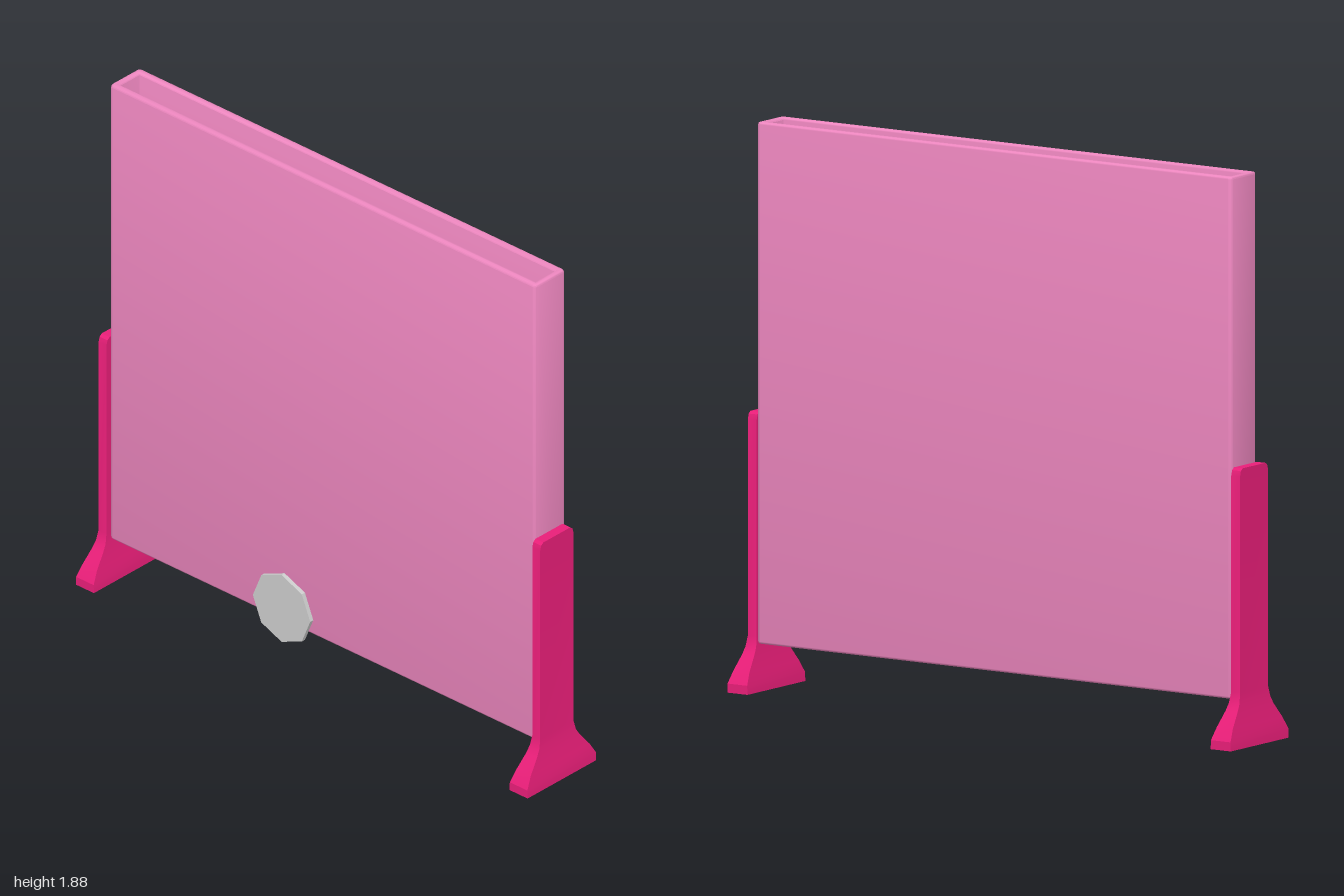
import * as THREE from 'three';
import { toCreasedNormals } from 'three/addons/utils/BufferGeometryUtils.js';

// Rounded rectangle outline, given by half sizes
function roundedRect(Path, hx, hy, r) {
  const p = new Path();
  p.absarc(hx - r, hy - r, r, 0, Math.PI / 2);
  p.absarc(-hx + r, hy - r, r, Math.PI / 2, Math.PI);
  p.absarc(-hx + r, -hy + r, r, Math.PI, Math.PI * 1.5);
  p.absarc(hx - r, -hy + r, r, Math.PI * 1.5, Math.PI * 2);
  p.closePath();
  return p;
}

// Hollow panel, open at the top and bottom, with softened rims
function panelGeometry() {
  const b = 0.008, bottom = 0.155, top = 1.88;
  const shape = roundedRect(THREE.Shape, 0.943 - b, 0.0725 - b, 0.006);
  shape.holes.push(roundedRect(THREE.Path, 0.92 + b, 0.0475 + b, 0.006));
  const g = new THREE.ExtrudeGeometry(shape, {
    depth: top - bottom - 2 * b, bevelThickness: b, bevelSize: b, bevelSegments: 3, curveSegments: 4,
  });
  g.rotateX(-Math.PI / 2).translate(0, bottom + b, -0.1975);
  return toCreasedNormals(g, 0.7);
}

// Stand: rectangular sections from the flared foot up to the chamfered post top
function standGeometry() {
  // height, half width, half depth
  const rows = [
    [0, 0.04, 0.165], [0.03, 0.039, 0.165], [0.07, 0.032, 0.142], [0.12, 0.024, 0.103],
    [0.145, 0.021, 0.088], [0.18, 0.0175, 0.08], [0.895, 0.0175, 0.08],
    [0.912, 0.0175, 0.075], [0.92, 0.0175, 0.065],
  ];
  const n = rows.length - 1;
  const g = new THREE.BoxGeometry(2, 2, 2, 1, n, 1);
  const p = g.attributes.position;
  for (let i = 0; i < p.count; i++) {
    const [y, hx, hz] = rows[Math.round((p.getY(i) + 1) / 2 * n)];
    p.setXYZ(i, p.getX(i) * hx, y, p.getZ(i) * hz);
  }
  return toCreasedNormals(g, 0.4);
}

export function createModel() {
  const model = new THREE.Group();
  const add = (name, geometry, color, x = 0, y = 0, z = 0) => {
    const mesh = new THREE.Mesh(geometry, new THREE.MeshStandardMaterial({ color }));
    mesh.name = name;
    mesh.position.set(x, y, z);
    model.add(mesh);
  };

  add('panel', panelGeometry(), 0xec86be);

  // Side stands
  const stand = standGeometry();
  add('leftStand', stand, 0xe81e78, 0.96, 0, -0.19);
  add('rightStand', stand, 0xe81e78, -0.96, 0, -0.19);

  // Separate eight-sided disc in front
  const disc = new THREE.CylinderGeometry(0.127, 0.127, 0.015, 8);
  disc.rotateX(Math.PI / 2);
  add('disc', toCreasedNormals(disc, 0.3), 0xcccccc, 0.26, 0.59, 0.3475);

  return model;
}
